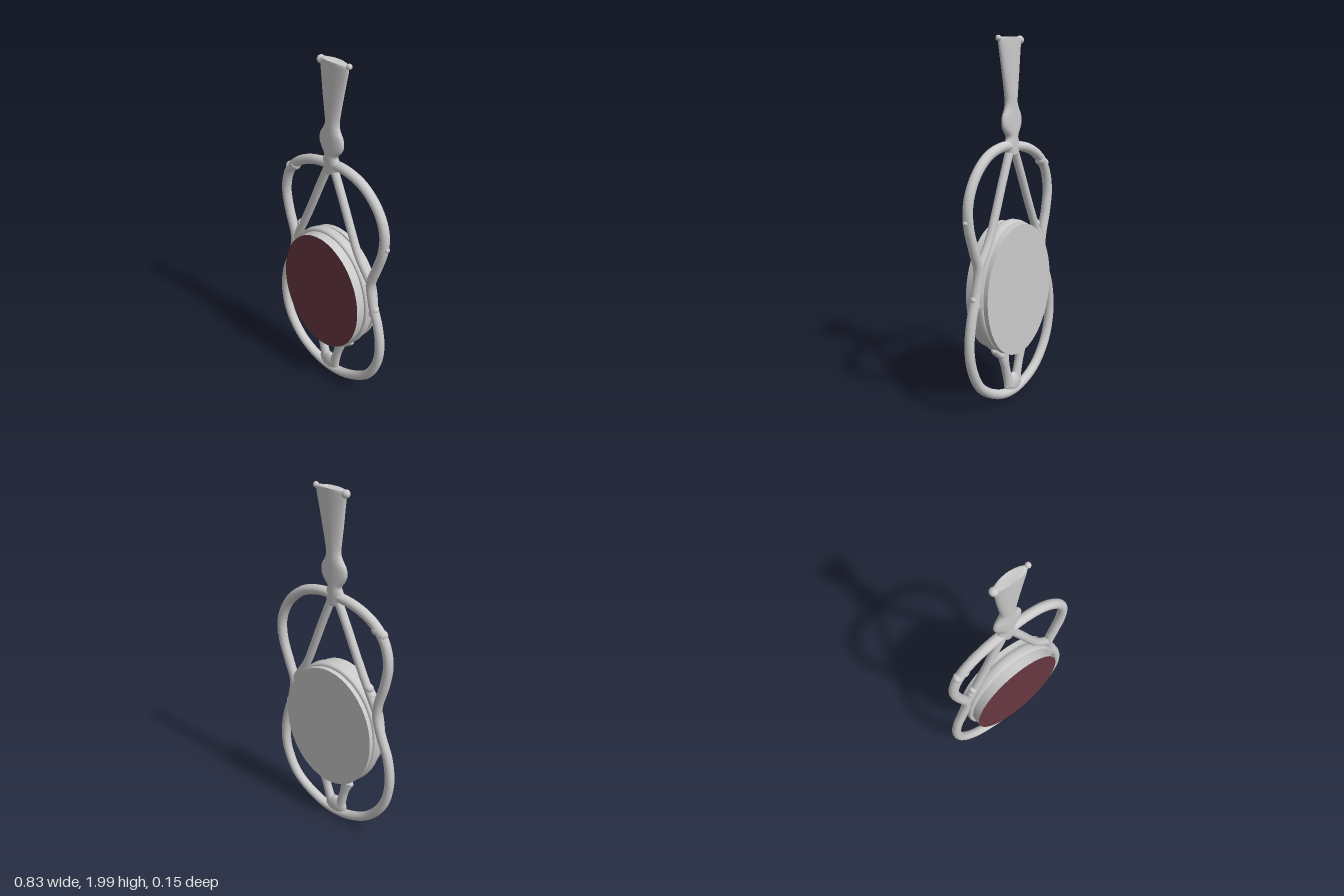
import * as THREE from 'three';
import { mergeVertices } from 'three/addons/utils/BufferGeometryUtils.js';

const Z = -0.0165; // middle plane of the wire frame

export function createModel() {
  const silver = new THREE.MeshStandardMaterial({ color: 0xcbcbcb });
  silver.name = 'silver';
  const stone = new THREE.MeshStandardMaterial({ color: 0x6a3841 });
  stone.name = 'dark red stone';

  const model = new THREE.Group();
  model.name = 'pendant';
  const add = (name, geometry, material = silver) => {
    const mesh = new THREE.Mesh(geometry, material);
    mesh.name = name;
    model.add(mesh);
    return mesh;
  };
  const curve = (points, closed = false) =>
    new THREE.CatmullRomCurve3(points.map(([x, y]) => new THREE.Vector3(x, y, Z)), closed);
  const wire = (name, points, radius, closed = false) =>
    add(name, new THREE.TubeGeometry(curve(points, closed), closed ? 160 : 24, radius, 14, closed));
  const bead = (name, x, y, radius, sx = 1, sy = 1, sz = 1) => {
    const mesh = add(name, new THREE.SphereGeometry(radius, 18, 12));
    mesh.position.set(x, y, Z);
    mesh.scale.set(sx, sy, sz);
  };

  // Loft along y: sections are [centre x, y, half width], bottom to top
  const loft = (name, sections, depth) => {
    const path = new THREE.CatmullRomCurve3(sections.map((s) => new THREE.Vector3(...s)));
    const g = new THREE.CylinderGeometry(1, 1, 1, 28, 48);
    const p = g.attributes.position;
    for (let i = 0; i < p.count; i++) {
      const s = path.getPoint(p.getY(i) + 0.5);
      p.setXYZ(i, s.x + p.getX(i) * s.z, s.y, Z + p.getZ(i) * Math.min(depth, s.z));
    }
    g.deleteAttribute('normal');
    g.deleteAttribute('uv');
    const merged = mergeVertices(g);
    merged.computeVertexNormals();
    return add(name, merged);
  };

  // Figure-eight outer wire
  wire('outerFrame', [
    [0, 1.43], [-0.14, 1.405], [-0.25, 1.35], [-0.32, 1.27], [-0.352, 1.15], [-0.335, 1.02],
    [-0.295, 0.88], [-0.292, 0.8], [-0.325, 0.69], [-0.37, 0.57], [-0.388, 0.41], [-0.35, 0.25],
    [-0.25, 0.12], [-0.13, 0.055], [0, 0.034], [0.13, 0.06], [0.29, 0.16], [0.365, 0.3],
    [0.382, 0.43], [0.36, 0.57], [0.318, 0.7], [0.3, 0.82], [0.335, 0.93], [0.375, 1.06],
    [0.378, 1.18], [0.325, 1.3], [0.22, 1.395], [0.1, 1.432],
  ], 0.027, true);

  // Inner struts from the neck to the bezel
  wire('leftStrut', [[-0.015, 1.42], [-0.08, 1.28], [-0.15, 1.12], [-0.225, 0.96], [-0.29, 0.83]], 0.023);
  wire('rightStrut', [[0.015, 1.42], [0.09, 1.24], [0.145, 1.1], [0.205, 0.96], [0.295, 0.83]], 0.023);

  // Bottom legs, joint and the short branch under the bezel
  loft('leftLeg', [[-0.035, 0.07, 0.04], [-0.05, 0.13, 0.03], [-0.07, 0.2, 0.027],
    [-0.085, 0.25, 0.035], [-0.092, 0.285, 0.04]], 0.024);
  loft('rightLeg', [[0.02, 0.07, 0.04], [0.04, 0.13, 0.03], [0.062, 0.2, 0.027],
    [0.075, 0.25, 0.035], [0.08, 0.29, 0.045]], 0.024);
  wire('legBranch', [[0.06, 0.26], [0.11, 0.285], [0.17, 0.335]], 0.02);
  bead('bottomJoint', -0.01, 0.08, 0.06, 1.25, 1, 0.47);

  // Bail: neck, bulb and flared top
  loft('bail', [
    [0, 1.38, 0.03], [0, 1.42, 0.06], [0, 1.45, 0.055], [0, 1.48, 0.042], [0.003, 1.515, 0.068],
    [0.003, 1.55, 0.083], [0.003, 1.59, 0.078], [0.004, 1.625, 0.056], [0.007, 1.66, 0.044],
    [0.008, 1.71, 0.05], [0.012, 1.81, 0.068], [0.017, 1.9, 0.083], [0.02, 1.96, 0.093],
    [0.02, 1.985, 0.092], [0.02, 1.988, 0.006],
  ], 0.028);

  // Small cast nubs
  [[-0.07, 1.972, 0.022], [0.118, 1.984, 0.015], [-0.312, 1.3, 0.027], [-0.275, 1.32, 0.03],
    [0.402, 1.09, 0.014], [0.338, 0.67, 0.022], [0.325, 0.635, 0.026], [-0.235, 0.965, 0.024],
    [-0.25, 0.925, 0.02], [-0.255, 0.895, 0.017], [-0.115, 0.275, 0.018], [0.165, 0.33, 0.018],
  ].forEach(([x, y, r]) => bead('nub', x, y, r));

  // Oval bezel ring with softly rounded edges
  const profile = [[0.88, -0.042], [0.96, -0.042], [0.985, -0.035], [1, -0.015], [1, 0.008],
    [0.985, 0.018], [0.96, 0.021], [0.88, 0.021], [0.88, -0.042]];
  const bezel = add('bezel', new THREE.LatheGeometry(
    profile.map(([r, z]) => new THREE.Vector2(r, z)), 96));
  bezel.rotation.x = Math.PI / 2;
  bezel.scale.set(0.305, 1, 0.378);
  bezel.position.set(0.003, 0.651, 0);

  // Oval discs facing z
  const oval = (name, x, y, rx, ry, z0, z1, material) => {
    const disc = add(name, new THREE.CylinderGeometry(1, 1, z1 - z0, 96), material);
    disc.rotation.x = Math.PI / 2;
    disc.scale.set(rx, 1, ry);
    disc.position.set(x, y, (z0 + z1) / 2);
  };
  oval('stone', 0.005, 0.652, 0.286, 0.361, 0, 0.074, [silver, stone, silver]);
  oval('backPlate', 0.005, 0.647, 0.298, 0.366, -0.077, -0.05, silver);

  return model;
}
